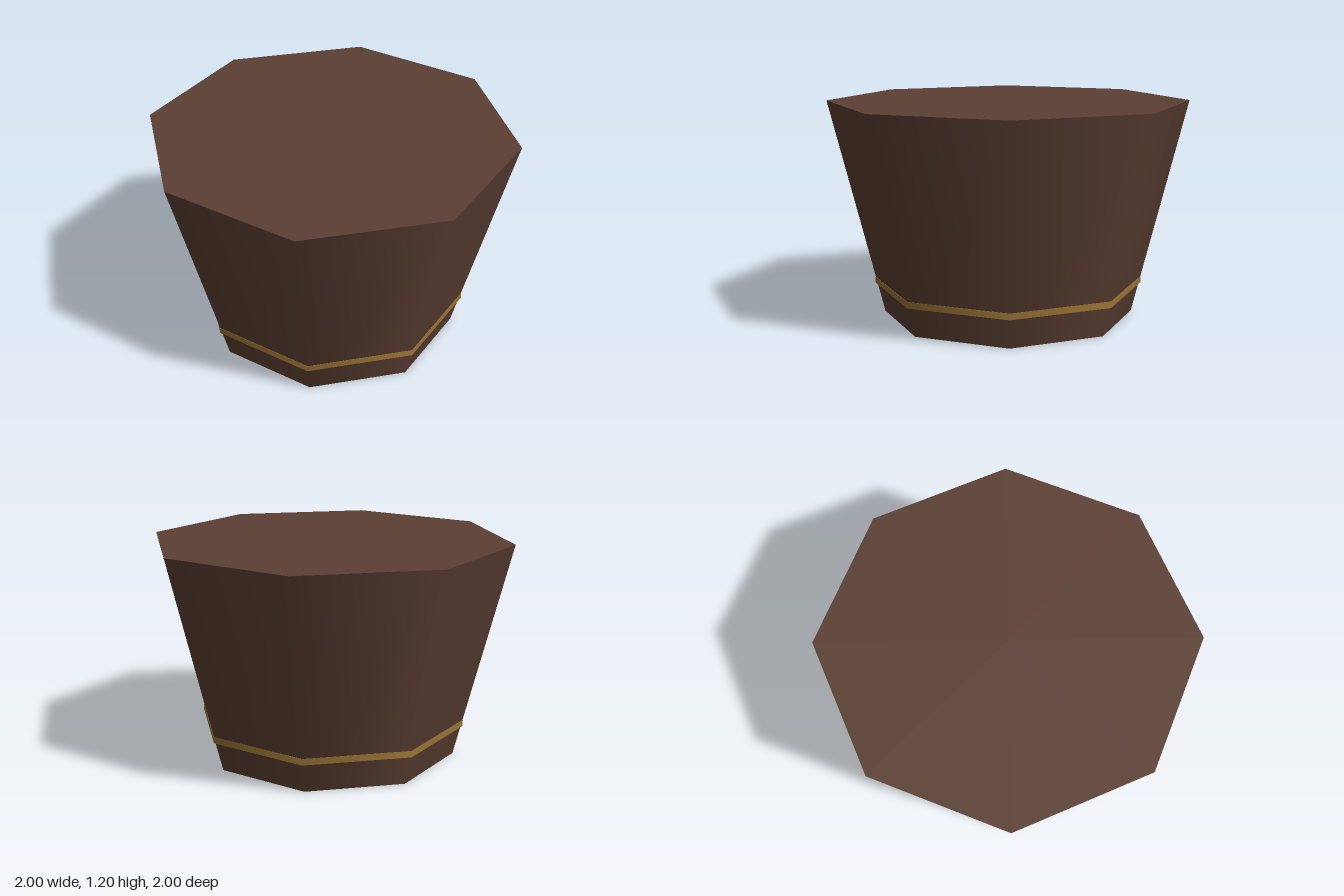
import * as THREE from 'three';

const SIDES = 8;

// Eight-sided, smooth-shaded ring or tub standing at height y
function addDrum(group, name, color, topRadius, bottomRadius, y, height) {
  const geometry = new THREE.CylinderGeometry(topRadius, bottomRadius, height, SIDES);
  const mesh = new THREE.Mesh(geometry, new THREE.MeshStandardMaterial({ color }));
  mesh.name = name;
  mesh.position.y = y + height / 2;
  group.add(mesh);
}

export function createModel() {
  const group = new THREE.Group();
  group.name = 'taperedTub';
  // Solid body, wider at the top
  addDrum(group, 'body', 0x5c4033, 1, 0.7, 0, 1.2);
  // Straight metal band near the foot
  addDrum(group, 'band', 0x9b7535, 0.752, 0.752, 0.165, 0.035);
  return group;
}
